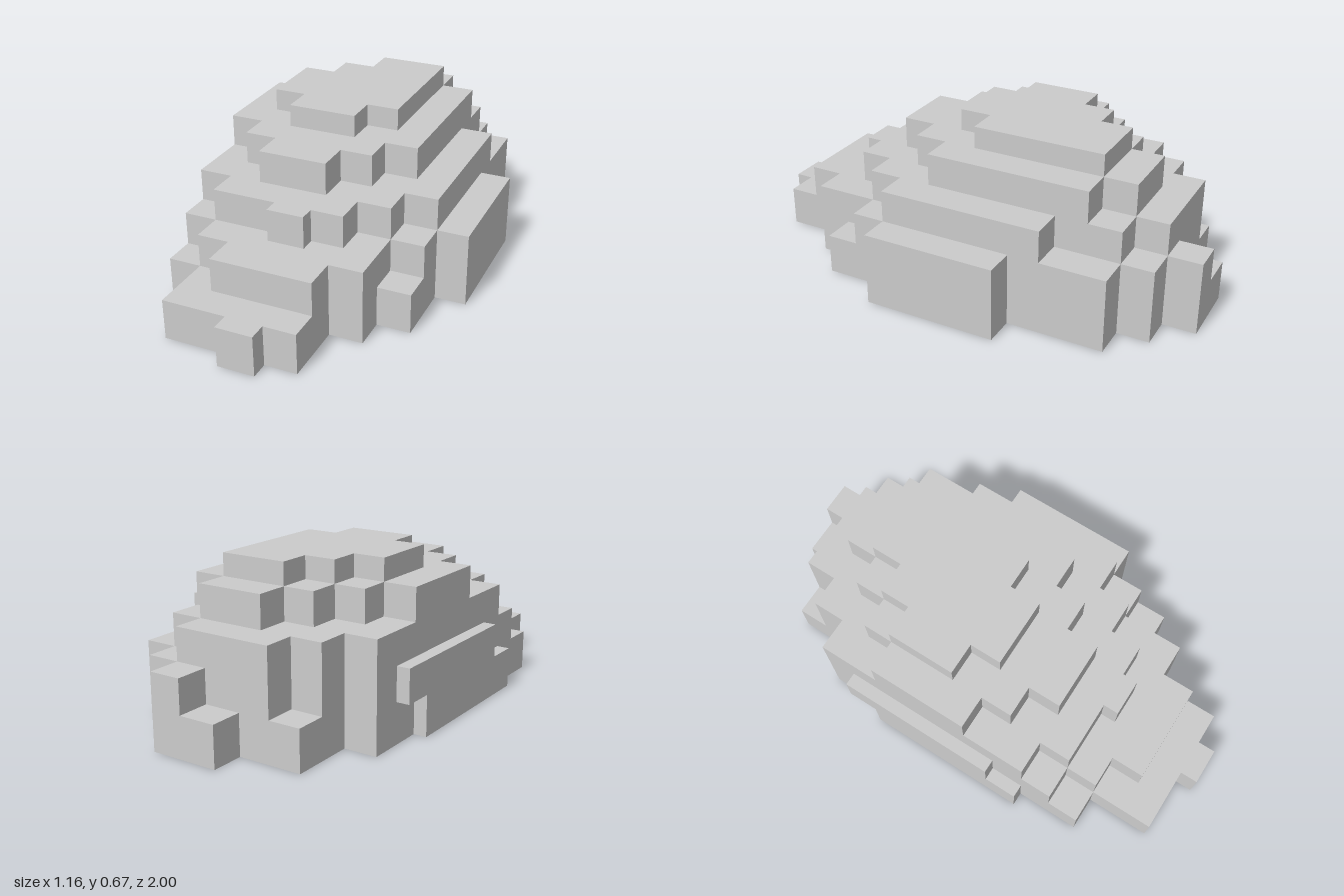
import * as THREE from 'three';

const material = new THREE.MeshStandardMaterial({ color: 0xcccccc, flatShading: true });

// Each terrace is a stair-stepped outline: alternating x and z edge positions,
// walked from the front, round the +x side, the back and the -x side.
const terraces = [
  { name: 'baseTerrace', bottom: 0, top: 0.17, steps: [
    -0.12, 1, 0.035, 0.925, 0.17, 0.655, 0.31, 0.52, 0.45, 0.245, 0.58, -0.32, 0.45, -0.725, 0.31, -0.86,
    0.17, -1, -0.12, -0.86, -0.39, -0.585, -0.53, -0.32, -0.585, 0.385, -0.53, 0.655, -0.39, 0.925] },
  { name: 'lowerTerrace', bottom: 0.17, top: 0.31, steps: [
    -0.255, 0.795, 0.17, 0.655, 0.31, 0.385, 0.45, 0.245, 0.58, -0.32, 0.45, -0.725, 0.31, -0.86,
    0.17, -1, 0.035, -0.86, -0.255, -0.725, -0.39, -0.585, -0.53, -0.45, -0.585, 0.245, -0.53, 0.52, -0.39, 0.655] },
  { name: 'middleTerrace', bottom: 0.31, top: 0.445, steps: [
    -0.12, 0.585, 0.035, 0.52, 0.17, 0.385, 0.31, 0.245, 0.45, -0.45, 0.31, -0.725,
    0.17, -0.86, -0.255, -0.725, -0.39, -0.585, -0.53, 0.385, -0.39, 0.52] },
  { name: 'upperTerrace', bottom: 0.445, top: 0.58, steps: [
    -0.255, 0.385, 0.035, 0.245, 0.17, 0.11, 0.31, -0.585, 0.17, -0.725,
    -0.12, -0.585, -0.255, -0.45, -0.39, -0.32, -0.53, 0.11, -0.39, 0.245] },
  { name: 'topTerrace', bottom: 0.58, top: 0.673, steps: [
    -0.255, 0.11, 0.035, -0.025, 0.17, -0.585, -0.12, -0.45, -0.255, -0.32, -0.39, -0.025] },
];

// Extrude one stepped outline upwards
function makeTerrace({ name, bottom, top, steps }) {
  const corners = steps.map((v, i) => {
    const next = steps[(i + 1) % steps.length];
    return i % 2 === 0 ? new THREE.Vector2(v, -next) : new THREE.Vector2(next, -v);
  });
  const geometry = new THREE.ExtrudeGeometry(new THREE.Shape(corners), {
    depth: top - bottom, bevelEnabled: false,
  });
  geometry.rotateX(-Math.PI / 2);
  geometry.translate(0, bottom, 0);
  const mesh = new THREE.Mesh(geometry, material);
  mesh.name = name;
  return mesh;
}

export function createModel() {
  const group = new THREE.Group();
  group.name = 'steppedMound';
  terraces.forEach((terrace) => group.add(makeTerrace(terrace)));
  return group;
}
